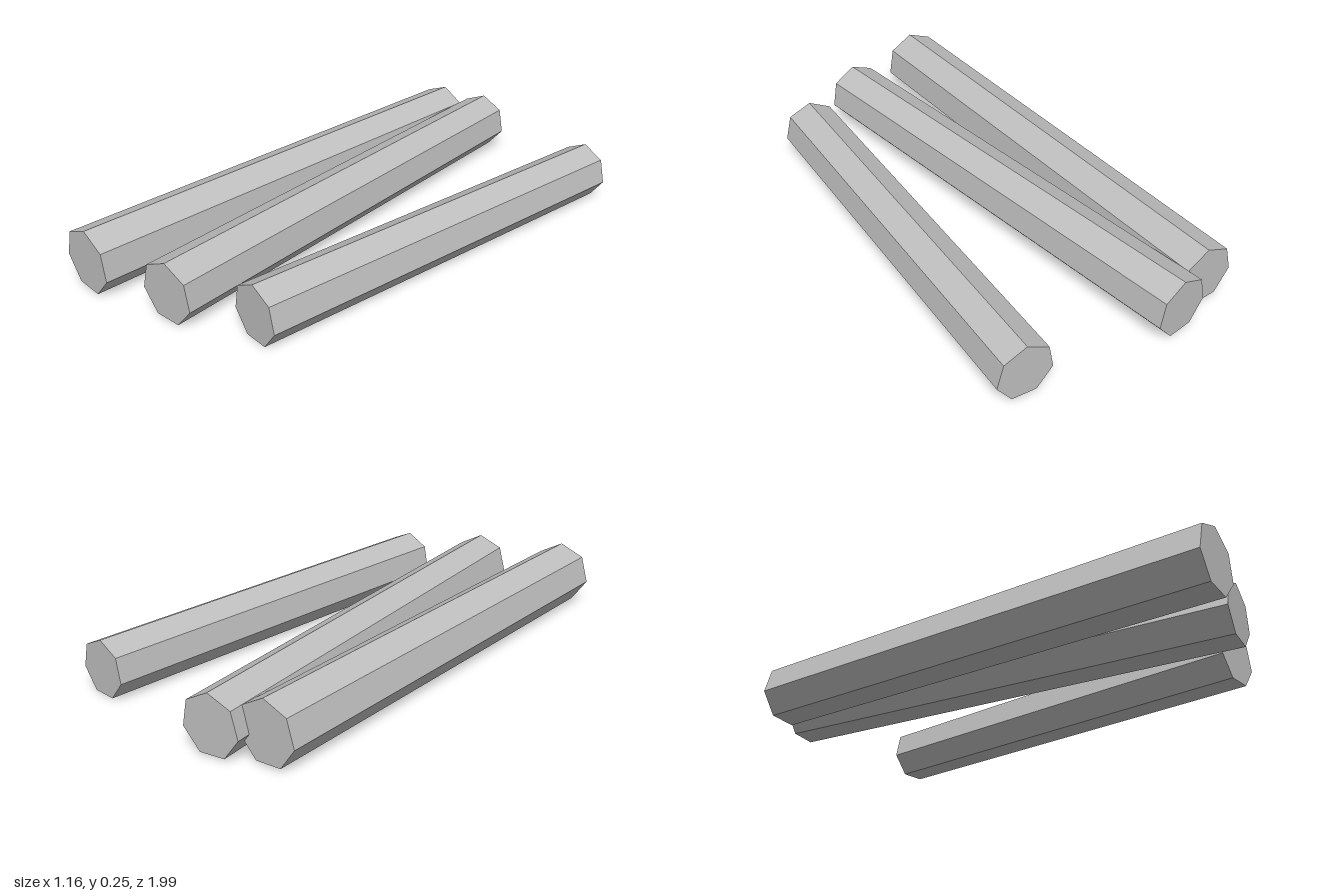
import * as THREE from 'three';

const SIDES = 7;

// A tapered seven-sided log lying between two end centres (x, z) at height y.
// angle is the direction of its top corner in degrees.
function makeLog(name, material, { front, back, y, radius, taper, angle }) {
  const dx = front[0] - back[0];
  const dz = front[1] - back[1];
  const geometry = new THREE.CylinderGeometry(
    radius, radius * taper, Math.hypot(dx, dz), SIDES, 1, false,
    THREE.MathUtils.degToRad(angle + 90)
  );
  geometry.rotateX(Math.PI / 2); // wide end towards +z
  const log = new THREE.Mesh(geometry, material);
  log.name = name;
  log.position.set((front[0] + back[0]) / 2, y, (front[1] + back[1]) / 2);
  log.rotation.y = Math.atan2(dx, dz);
  return log;
}

export function createModel() {
  const group = new THREE.Group();
  group.name = 'logs';

  const grey = new THREE.MeshStandardMaterial({ color: 0xbfbfbf, flatShading: true });
  grey.name = 'plain grey';

  group.add(
    makeLog('rightLog', grey, {
      front: [-0.456, 0.986], back: [-0.331, -0.942], y: 0.121, radius: 0.128, taper: 0.95, angle: 86.5,
    }),
    makeLog('middleLog', grey, {
      front: [-0.086, 0.923], back: [-0.146, -0.997], y: 0.115, radius: 0.122, taper: 0.96, angle: 87.8,
    }),
    makeLog('leftLog', grey, {
      front: [0.226, 0.802], back: [0.472, -0.878], y: 0.107, radius: 0.117, taper: 0.96, angle: 91.2,
    })
  );
  return group;
}
